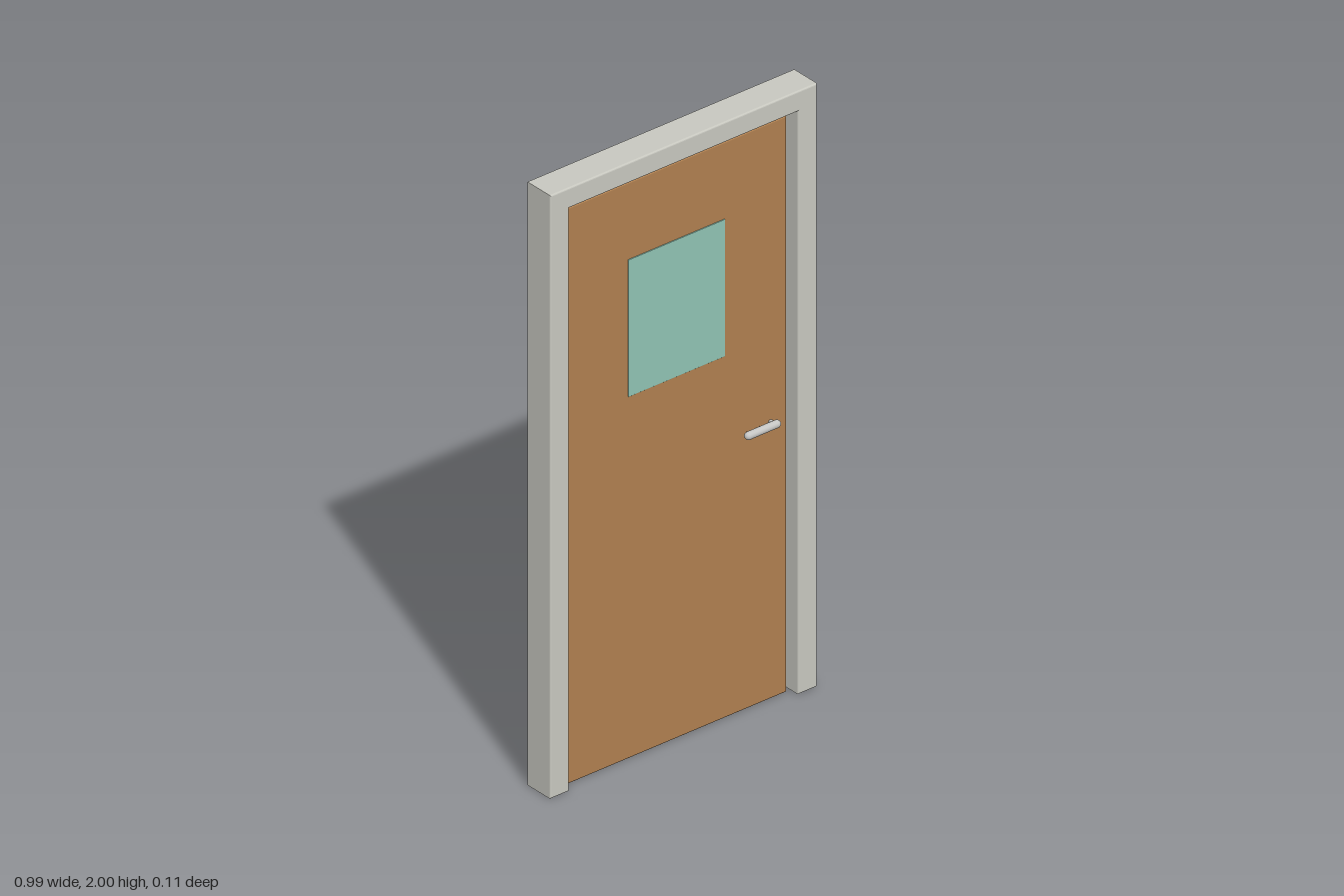
import * as THREE from 'three';
import { RoundedBoxGeometry } from 'three/addons/geometries/RoundedBoxGeometry.js';

export function createModel() {
  const model = new THREE.Group();
  model.name = 'door';

  const material = (name, color) => {
    const m = new THREE.MeshStandardMaterial({ color });
    m.name = name;
    return m;
  };
  const frameGrey = material('frameGrey', 0xc8c8c0);
  const wood = material('wood', 0xb08050);
  const glass = material('glass', 0x90c4b4);
  const metal = material('metal', 0xc6c6c4);

  const add = (name, geometry, mat, x = 0, y = 0, z = 0, parent = model) => {
    const mesh = new THREE.Mesh(geometry, mat);
    mesh.name = name;
    mesh.position.set(x, y, z);
    parent.add(mesh);
    return mesh;
  };

  // Door frame: two jambs and a head in one softly bevelled piece
  const W = 0.495, inner = 0.425, innerTop = 1.933, D = 0.053, bevel = 0.005;
  const outline = new THREE.Shape([
    [-W, 0], [-inner, 0], [-inner, innerTop], [inner, innerTop],
    [inner, 0], [W, 0], [W, 2], [-W, 2],
  ].map(([x, y]) => new THREE.Vector2(x, y)));
  const frame = new THREE.ExtrudeGeometry(outline, {
    depth: 2 * (D - bevel),
    bevelThickness: bevel,
    bevelSize: bevel,
    bevelOffset: -bevel,
    bevelSegments: 3,
  });
  add('frame', frame, frameGrey, 0, 0, -(D - bevel));

  // Door leaf
  const leafTop = 1.91, leafDepth = 0.04;
  add('leaf', new RoundedBoxGeometry(0.82, leafTop, leafDepth, 3, 0.005), wood, 0, leafTop / 2, 0);

  // Window pane, just proud of the leaf on both sides
  add('windowPane', new RoundedBoxGeometry(0.36, 0.455, leafDepth + 0.005, 2, 0.002), glass, 0, 1.4275, 0);

  // Lever handles, one on each side
  const radius = 0.0125, length = 0.13;
  const lever = new THREE.CapsuleGeometry(radius, length - 2 * radius, 6, 16).rotateZ(Math.PI / 2);
  const stem = new THREE.CylinderGeometry(0.008, 0.008, 0.022, 16).rotateX(Math.PI / 2);
  for (const side of [1, -1]) {
    const handle = new THREE.Group();
    handle.name = side > 0 ? 'frontHandle' : 'backHandle';
    handle.position.set(0.303, 0.918, 0);
    add('lever', lever, metal, 0, 0, side * 0.04, handle);
    add('stem', stem, metal, 0.045, 0, side * 0.028, handle);
    model.add(handle);
  }

  return model;
}
